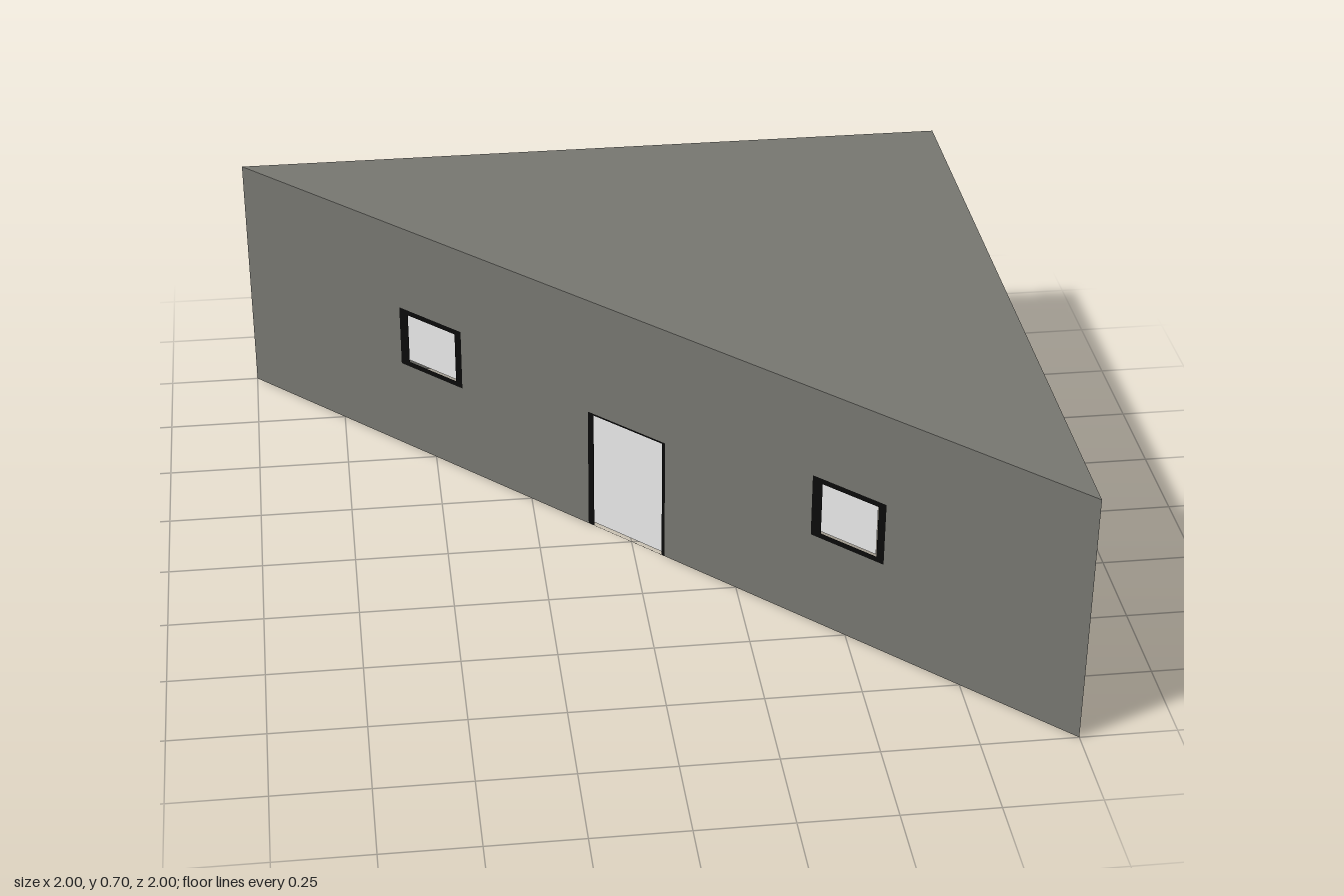
import * as THREE from 'three';

const HEIGHT = 0.7;
const S = Math.SQRT2; // length along the diagonal wall per unit of x

function mat(name, color) {
  const m = new THREE.MeshStandardMaterial({ color, side: THREE.DoubleSide });
  m.name = name;
  return m;
}

// Rectangle outline from x and y limits, stretched along the diagonal
function rect(x0, x1, y0, y1, Type = THREE.Shape) {
  const p = new Type();
  p.moveTo(x0 * S, y0);
  p.lineTo(x1 * S, y0);
  p.lineTo(x1 * S, y1);
  p.lineTo(x0 * S, y1);
  p.closePath();
  return p;
}

export function createModel() {
  const model = new THREE.Group();
  model.name = 'triangularBuilding';
  const wallMat = mat('wall grey', 0x75756f);
  const frameMat = mat('frame black', 0x0a0a0a);
  const paneMat = mat('pane white', 0xffffff);

  const add = (parent, name, geometry, material) => {
    const mesh = new THREE.Mesh(geometry, material);
    mesh.name = name;
    parent.add(mesh);
    return mesh;
  };

  // Two plain walls
  const back = add(model, 'backWall', new THREE.PlaneGeometry(2, HEIGHT), wallMat);
  back.position.set(0, HEIGHT / 2, -1);
  back.rotation.y = Math.PI;
  const side = add(model, 'sideWall', new THREE.PlaneGeometry(2, HEIGHT), wallMat);
  side.position.set(1, HEIGHT / 2, 0);
  side.rotation.y = Math.PI / 2;

  // Flat triangular roof (shape y becomes -z); the underside stays open
  const tri = new THREE.Shape([
    new THREE.Vector2(-1, 1), new THREE.Vector2(1, -1), new THREE.Vector2(1, 1),
  ]);
  const roof = add(model, 'roof', new THREE.ShapeGeometry(tri), wallMat);
  roof.rotation.x = -Math.PI / 2;
  roof.position.y = HEIGHT;

  // Diagonal front with openings: each has an outer edge, inner edge and pane
  const front = new THREE.Group();
  front.name = 'diagonalFront';
  front.rotation.y = -Math.PI / 4;
  model.add(front);

  const openings = [
    { name: 'door', outer: [-0.106, 0.08, 0, 0.358], inner: [-0.092, 0.073, 0, 0.353], pane: [-0.102, 0.067, 0, 0.358] },
  ];
  for (const [name, x] of [['rightWindow', -0.504], ['leftWindow', 0.496]]) {
    openings.push({
      name,
      outer: [x - 0.08, x + 0.08, 0.265, 0.445],
      inner: [x - 0.058, x + 0.064, 0.28, 0.43],
      pane: [x - 0.074, x + 0.057, 0.276, 0.436],
    });
  }

  const wall = rect(-1, 1, 0, HEIGHT);
  for (const o of openings) {
    // The door reaches the ground, so its cut starts a hair above it
    const cut = ([a, b, c, d]) => rect(a, b, Math.max(c, 0.001), d, THREE.Path);
    wall.holes.push(cut(o.outer));
    const frame = rect(...o.outer);
    frame.holes.push(cut(o.inner));
    add(front, o.name + 'Frame', new THREE.ShapeGeometry(frame), frameMat);
    const pane = add(front, o.name + 'Pane', new THREE.ShapeGeometry(rect(...o.pane)), paneMat);
    pane.position.z = -0.013;
  }
  add(front, 'frontWall', new THREE.ShapeGeometry(wall), wallMat);

  return model;
}
